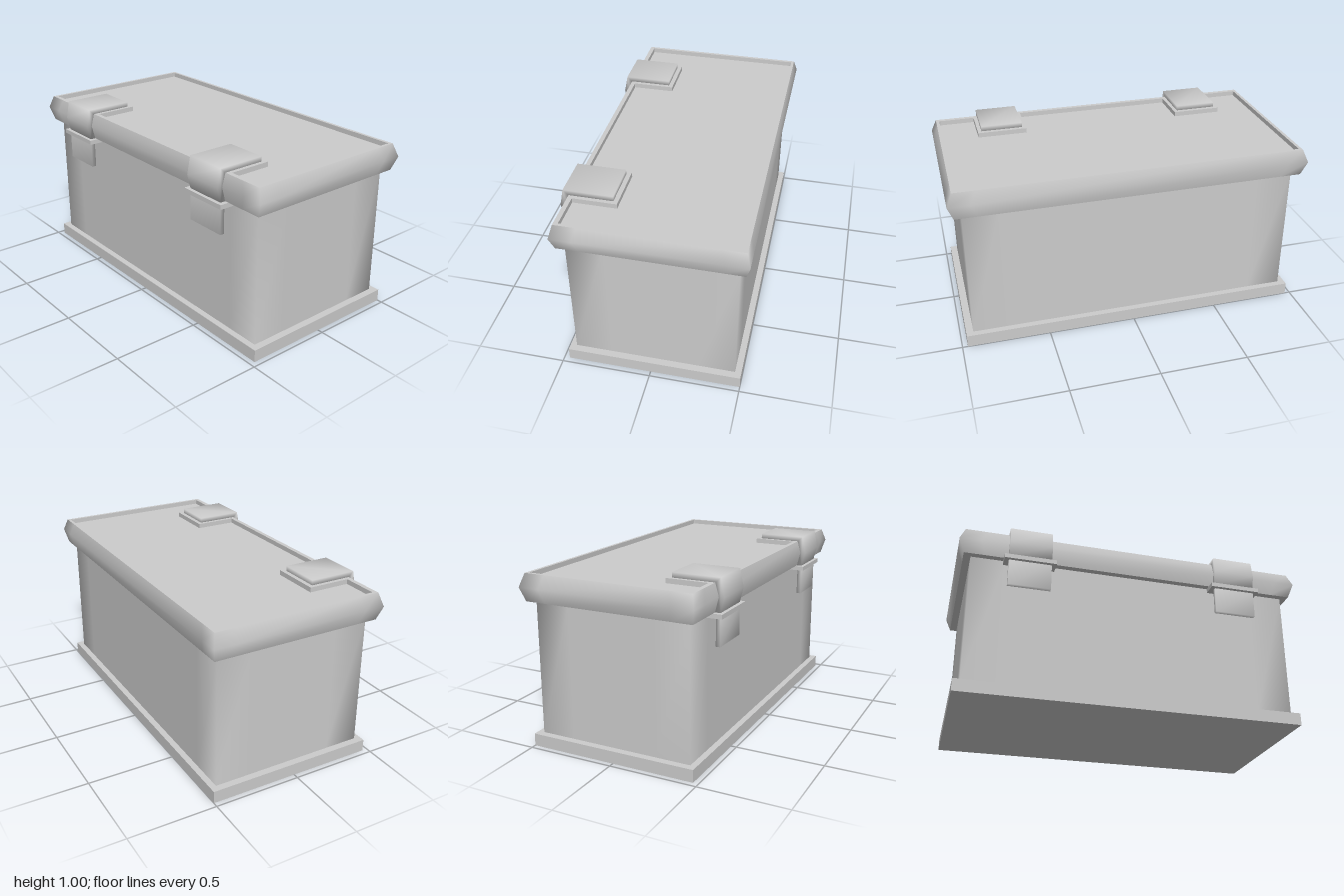
import * as THREE from 'three';
import { mergeVertices } from 'three/addons/utils/BufferGeometryUtils.js';

const material = new THREE.MeshStandardMaterial({ color: 0xcccccc });

function addMesh(parent, name, geometry) {
  const mesh = new THREE.Mesh(geometry, material);
  mesh.name = name;
  parent.add(mesh);
  return mesh;
}

// Box given by its limits on each axis
function box(x0, x1, y0, y1, z0, z1) {
  return new THREE.BoxGeometry(x1 - x0, y1 - y0, z1 - z0)
    .translate((x0 + x1) / 2, (y0 + y1) / 2, (z0 + z1) / 2);
}

// Shares vertices across edges so that the shading turns softly
function soften(geometry) {
  geometry.deleteAttribute('normal');
  geometry.deleteAttribute('uv');
  const merged = mergeVertices(geometry, 1e-4);
  merged.computeVertexNormals();
  return merged;
}

// Rectangular wall through rings [halfWidth, zBack, zFront, y];
// extra points near each corner keep the soft shading local
function loft(rings, cornerSpan) {
  const positions = [], index = [], n = 12;
  for (const [hx, zb, zf, y] of rings) {
    const corners = [[hx, zf], [hx, zb], [-hx, zb], [-hx, zf]];
    corners.forEach(([x, z], i) => {
      const [nx, nz] = corners[(i + 1) % 4];
      const length = Math.hypot(nx - x, nz - z);
      for (const t of [0, cornerSpan / length, 1 - cornerSpan / length]) {
        positions.push(x + (nx - x) * t, y, z + (nz - z) * t);
      }
    });
  }
  for (let r = 0; r < rings.length - 1; r++) {
    for (let i = 0; i < n; i++) {
      const a = r * n + i, b = r * n + (i + 1) % n;
      index.push(a, b, b + n, a, b + n, a + n);
    }
  }
  const geometry = new THREE.BufferGeometry();
  geometry.setAttribute('position', new THREE.Float32BufferAttribute(positions, 3));
  geometry.setIndex(index);
  geometry.computeVertexNormals();
  return geometry;
}

// Side profile of [z, y] points, extruded across x
function sideExtrude(points, width) {
  const shape = new THREE.Shape(points.map(([z, y]) => new THREE.Vector2(z, y)));
  return new THREE.ExtrudeGeometry(shape, { depth: width, bevelEnabled: false })
    .translate(0, 0, -width / 2).rotateY(-Math.PI / 2);
}

function createLatch(x) {
  const latch = new THREE.Group();
  latch.name = 'latch';
  addMesh(latch, 'latchPad', box(-0.142, 0.142, 0.94, 0.972, 0.205, 0.46));
  // Strap folds over the lid edge
  addMesh(latch, 'latchStrap', soften(sideExtrude([
    [0.23, 0.96], [0.46, 0.96], [0.48, 0.9], [0.46, 0.82],
    [0.5, 0.82], [0.52, 0.9], [0.5, 1], [0.23, 1],
  ], 0.24)));
  addMesh(latch, 'latchFlange', box(-0.145, 0.145, 0.795, 0.82, 0.435, 0.52));
  addMesh(latch, 'latchTongue', soften(box(-0.12, 0.12, 0.642, 0.8, 0.475, 0.5)));
  latch.position.x = x;
  return latch;
}

export function createModel() {
  const model = new THREE.Group();
  model.name = 'chest';

  addMesh(model, 'base', box(-0.97, 0.97, 0, 0.07, -0.5, 0.47));
  addMesh(model, 'body', loft([
    [0.93, -0.465, 0.435, 0.07], [0.93, -0.465, 0.435, 0.825],
  ], 0.2));

  // Lid: underside, pointed band, rim and recessed panel
  const lid = new THREE.Group();
  lid.name = 'lid';
  model.add(lid);
  const bottom = [0.97, -0.5, 0.47, 0.82];
  const middle = [1, -0.52, 0.49, 0.9];
  const top = [0.97, -0.5, 0.47, 0.972];
  const rim = [0.952, -0.482, 0.445, 0.972];
  const recess = [0.952, -0.482, 0.445, 0.945];
  addMesh(lid, 'lidUnderside', loft([[0.92, -0.455, 0.425, 0.82], bottom], 0.1));
  addMesh(lid, 'lidBand', loft([bottom, middle, top], 0.12));
  addMesh(lid, 'lidRim', loft([top, rim], 0.1));
  addMesh(lid, 'lidInnerWall', loft([rim, recess], 0.01));
  addMesh(lid, 'lidPanel', box(-0.952, 0.952, 0.925, 0.945, -0.482, 0.445));

  for (const side of [-1, 1]) model.add(createLatch(side * 0.605));
  return model;
}
